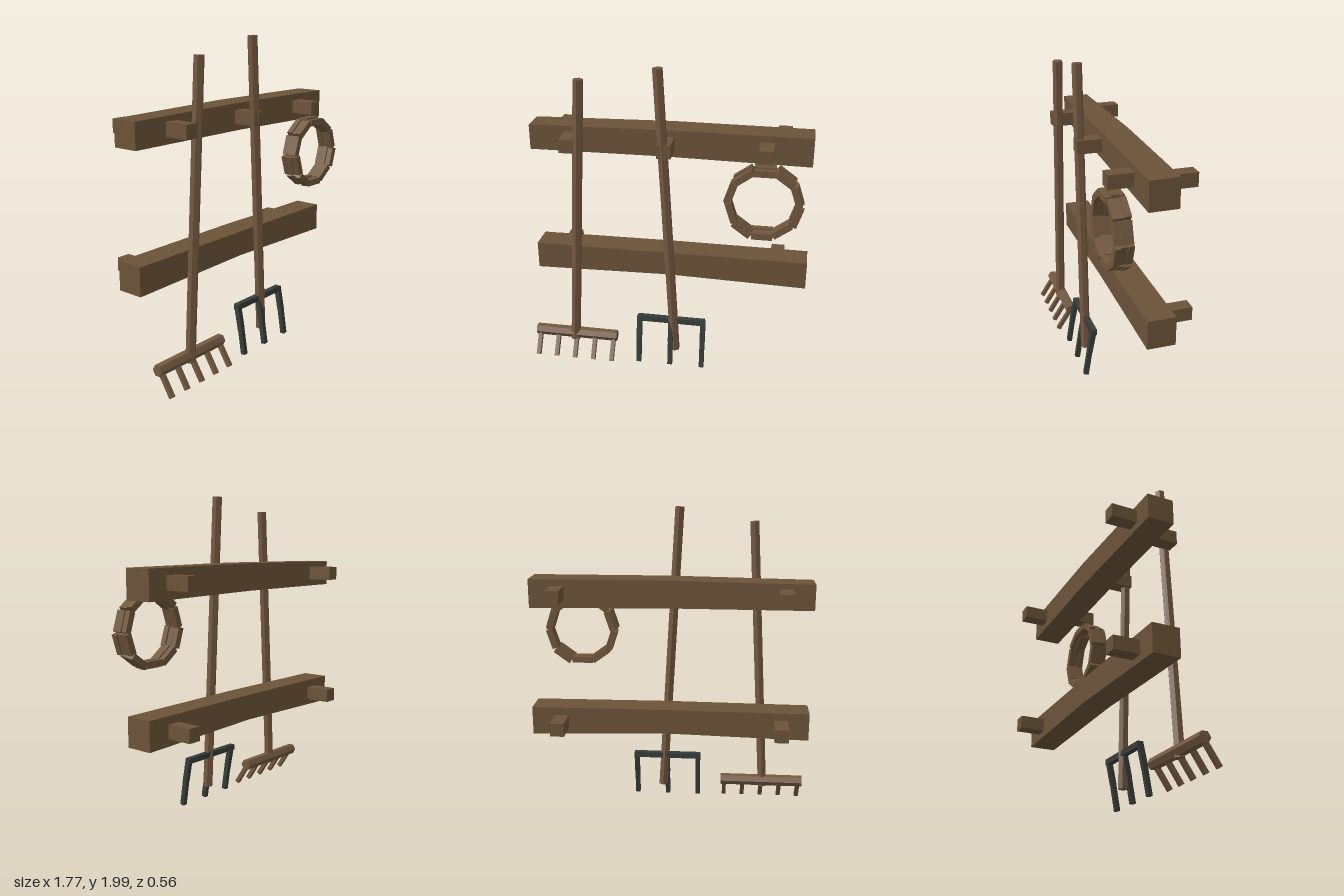
import * as THREE from 'three';

const material = (name, color) => {
  const m = new THREE.MeshStandardMaterial({ color, flatShading: true });
  m.name = name;
  return m;
};

export function createModel() {
  const beamWood = material('beam wood', 0x6b5339);
  const toolWood = material('tool wood', 0x735840);
  const ropeFibre = material('rope fibre', 0x6f563c);
  const iron = material('dark iron', 0x363d39);
  const root = new THREE.Group();
  root.name = 'toolRack';

  const group = (name) => {
    const g = new THREE.Group();
    g.name = name;
    root.add(g);
    return g;
  };
  const add = (parent, name, geometry, mat) => {
    const mesh = new THREE.Mesh(geometry, mat);
    mesh.name = name;
    parent.add(mesh);
    return mesh;
  };
  const box = (parent, name, mat, size, pos) => {
    const mesh = add(parent, name, new THREE.BoxGeometry(...size), mat);
    mesh.position.set(...pos);
    return mesh;
  };
  // Bar running between two points: a box (width, depth) or a prism (radius, sides)
  const bar = (parent, name, mat, from, to, make) => {
    const a = new THREE.Vector3(...from), b = new THREE.Vector3(...to);
    const dir = b.clone().sub(a);
    const mesh = add(parent, name, make(dir.length()), mat);
    mesh.position.copy(a).add(b).multiplyScalar(0.5);
    mesh.quaternion.setFromUnitVectors(new THREE.Vector3(0, 1, 0), dir.normalize());
    return mesh;
  };
  const hex = (r) => (l) => new THREE.CylinderGeometry(r, r, l, 6);
  const square = (w, d = w) => (l) => new THREE.BoxGeometry(w, l, d);

  // Hewn beam: left, middle and right sections as [x, bottom, top, back, front]
  const beam = (name, sections) => {
    const geo = new THREE.BoxGeometry(2, 1, 1, 2, 1, 1);
    const p = geo.attributes.position;
    for (let i = 0; i < p.count; i++) {
      const [x, y0, y1, z0, z1] = sections[Math.round(p.getX(i)) + 1];
      p.setXYZ(i, x, p.getY(i) < 0 ? y0 : y1, p.getZ(i) < 0 ? z0 : z1);
    }
    geo.computeVertexNormals();
    add(root, name, geo, beamWood);
  };
  beam('upperBeam', [
    [-0.883, 1.415, 1.575, -0.12, 0.045],
    [0, 1.418, 1.588, -0.13, 0.05],
    [0.868, 1.405, 1.585, -0.122, 0.055]]);
  beam('lowerBeam', [
    [-0.885, 0.576, 0.753, -0.12, 0.05],
    [0, 0.597, 0.757, -0.122, 0.055],
    [0.882, 0.572, 0.753, -0.122, 0.05]]);

  // Hanging pegs in front, fixing pegs behind
  const pegs = group('pegs');
  for (const x of [-0.607, -0.01, 0.593])
    box(pegs, 'frontPeg', beamWood, [0.087, 0.085, 0.17], [x, 1.503, 0.12]);
  for (const y of [1.502, 0.662])
    for (const x of [-0.707, 0.69])
      box(pegs, 'backPeg', beamWood, [0.087, 0.085, 0.18], [x, y, -0.193]);

  // Rake
  const rake = group('rake');
  bar(rake, 'rakeHandle', toolWood, [-0.618, 0.12, 0.178], [-0.514, 1.914, 0.178], hex(0.032));
  bar(rake, 'rakeHead', toolWood, [-0.885, 0.16, 0.17], [-0.333, 0.16, 0.17], hex(0.037));
  for (let i = 0; i < 5; i++) {
    const x = -0.861 + i * 0.126;
    bar(rake, 'rakeTooth', toolWood, [x, 0.145, 0.178], [x, 0.015, 0.262], square(0.027));
  }

  // Fork
  const fork = group('fork');
  bar(fork, 'forkHandle', toolWood, [0.061, 0.11, 0.178], [-0.046, 2, 0.178], hex(0.032));
  box(fork, 'forkCrossbar', iron, [0.44, 0.036, 0.036], [0.033, 0.326, 0.172]);
  for (const x of [-0.175, 0.034, 0.244]) {
    bar(fork, 'forkTineTop', iron, [x, 0.34, 0.174], [x, 0.18, 0.205], square(0.032));
    bar(fork, 'forkTineTip', iron, [x, 0.185, 0.204], [x, 0.02, 0.23], square(0.03));
  }

  // Coil of rope: three loops of ten straight pieces, each slightly out of line
  const coil = group('ropeCoil');
  const pieces = 10;
  for (let loop = 0; loop < 3; loop++) {
    for (let i = 0; i < pieces; i++) {
      const a = Math.PI / 2 + (i / pieces) * Math.PI * 2;
      const r = 0.206 + 0.006 * Math.sin(i * 2.3 + loop * 2);
      const z = 0.131 + loop * 0.036 + 0.003 * Math.sin(i * 1.7 + loop);
      const piece = box(coil, 'ropePiece', ropeFibre, [0.04, 0.128, 0.037],
        [0.593 + r * Math.cos(a), 1.208 + r * Math.sin(a), z]);
      piece.rotation.z = a;
    }
  }

  return root;
}
